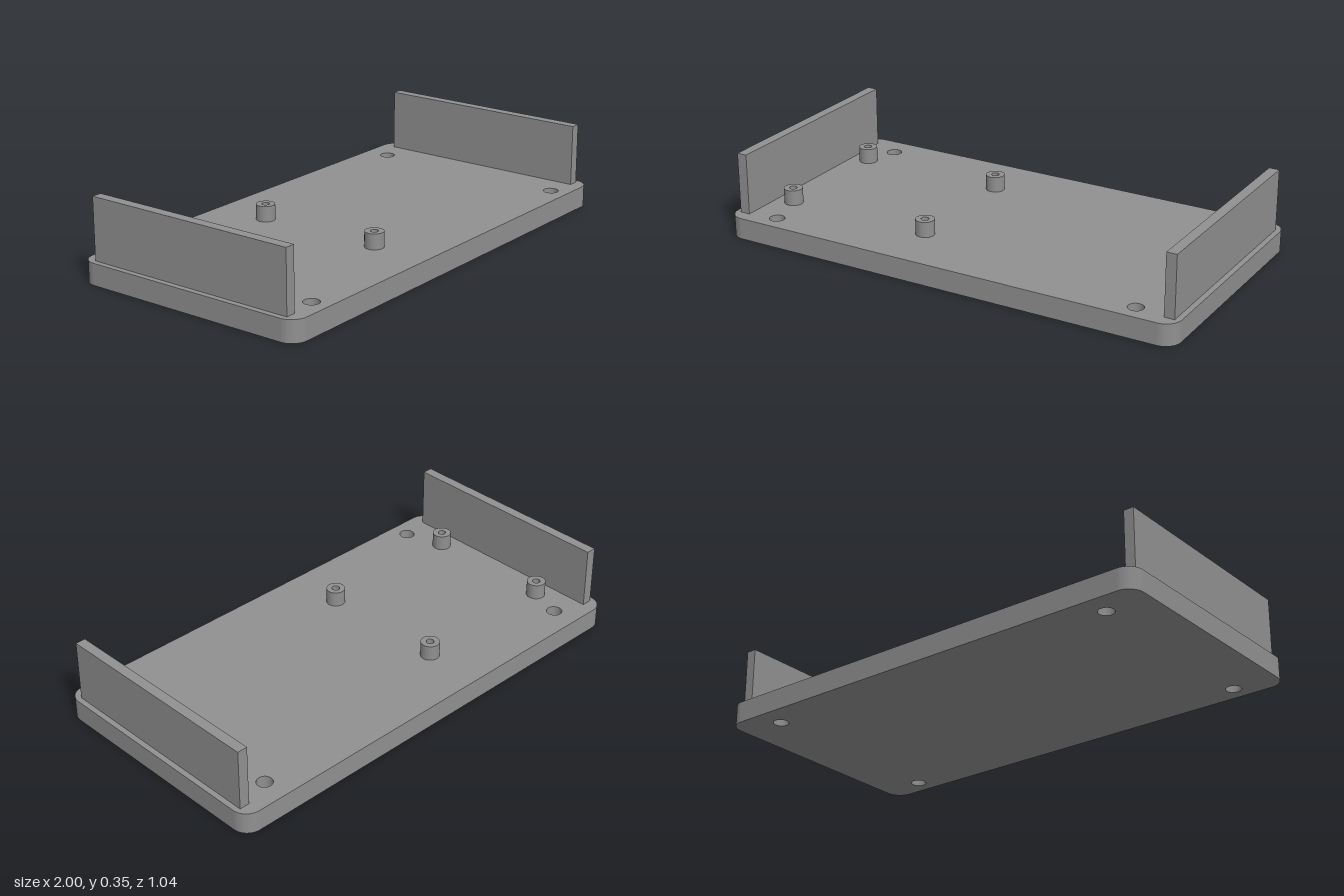
import * as THREE from 'three';

const BASE_H = 0.09, HALF_X = 1, HALF_Z = 0.522, CORNER = 0.067;

// Extrude a flat shape (x, -z) upward from height y
function slab(shape, y, height, curveSegments) {
  const g = new THREE.ExtrudeGeometry(shape, { depth: height, bevelEnabled: false, curveSegments });
  g.rotateX(-Math.PI / 2);
  g.translate(0, y, 0);
  return g;
}

function circle(PathType, x, z, r) {
  const p = new PathType();
  p.absarc(x, -z, r, 0, Math.PI * 2, PathType === THREE.Path);
  return p;
}

export function createModel() {
  const model = new THREE.Group();
  const gray = new THREE.MeshStandardMaterial({ color: 0x909090 });
  gray.name = 'gray plastic';
  const add = (name, geometry) => {
    const mesh = new THREE.Mesh(geometry, gray);
    mesh.name = name;
    model.add(mesh);
    return mesh;
  };

  // Base plate with rounded corners and four through holes
  const plate = new THREE.Shape();
  const cx = HALF_X - CORNER, cz = HALF_Z - CORNER;
  [[cx, cz], [-cx, cz], [-cx, -cz], [cx, -cz]].forEach(([x, y], i) =>
    plate.absarc(x, y, CORNER, i * Math.PI / 2, (i + 1) * Math.PI / 2, false));
  for (const x of [-0.81, 0.81])
    for (const z of [-0.413, 0.444])
      plate.holes.push(circle(THREE.Path, x, z, 0.032));
  add('basePlate', slab(plate, 0, BASE_H, 16));

  // Upright end walls
  for (const side of [-1, 1]) {
    const wall = add(side > 0 ? 'leftWall' : 'rightWall',
      new THREE.BoxGeometry(0.043, 0.257, 0.934));
    wall.position.set(side * 0.955, BASE_H + 0.257 / 2, 0);
  }

  // Hollow mounting posts
  for (const x of [-0.852, -0.208])
    for (const z of [-0.273, 0.273]) {
      const ring = circle(THREE.Shape, x, z, 0.039);
      ring.holes.push(circle(THREE.Path, x, z, 0.016));
      add('mountingPost', slab(ring, BASE_H, 0.065, 16));
    }

  return model;
}
